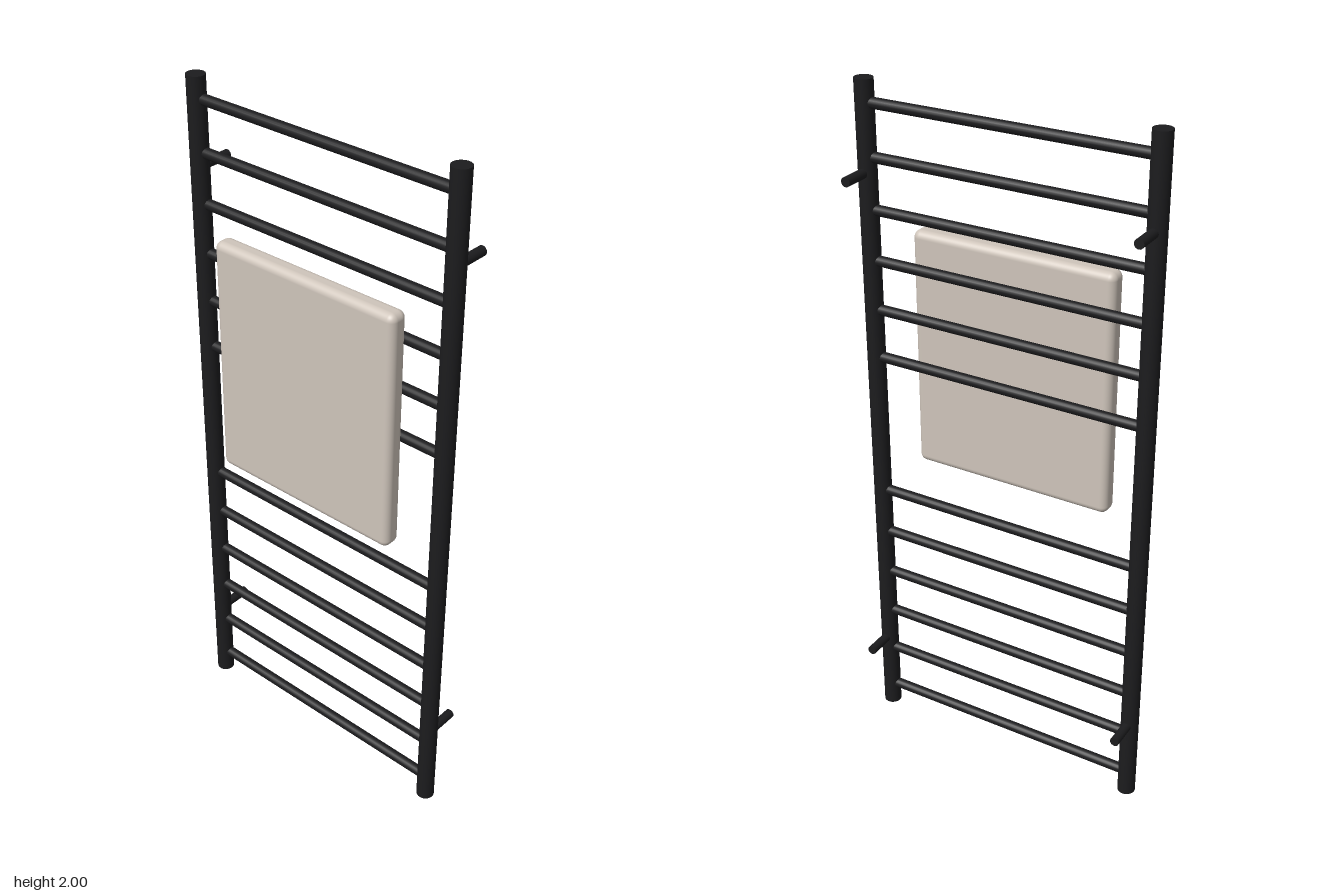
import * as THREE from 'three';
import { RoundedBoxGeometry } from 'three/addons/geometries/RoundedBoxGeometry.js';

export function createModel() {
  const model = new THREE.Group();
  model.name = 'towelRail';

  const black = new THREE.MeshStandardMaterial({ color: 0x1c1c1e });
  black.name = 'matt black';
  const beige = new THREE.MeshStandardMaterial({ color: 0xcfc5bb });
  beige.name = 'warm beige';

  const postX = 0.416, railZ = 0.01;

  function add(name, geometry, material, x, y, z) {
    const mesh = new THREE.Mesh(geometry, material);
    mesh.name = name;
    mesh.position.set(x, y, z);
    model.add(mesh);
  }

  // Upright posts, each with two wall brackets pointing back
  const post = new THREE.CylinderGeometry(0.026, 0.026, 2, 32);
  const bracket = new THREE.CylinderGeometry(0.0135, 0.0135, 0.1, 20).rotateX(Math.PI / 2);
  for (const [side, s] of [['left', 1], ['right', -1]]) {
    add(side + 'Post', post, black, s * postX, 1, railZ);
    for (const y of [0.253, 1.753]) add(side + 'Bracket', bracket, black, s * postX, y, -0.04);
  }

  // Two banks of six rungs with a gap between them
  const rung = new THREE.CylinderGeometry(0.015, 0.015, postX * 2, 20).rotateZ(Math.PI / 2);
  for (const start of [0.07, 1.22]) {
    for (let i = 0; i < 6; i++) add('rung', rung, black, 0, start + i * 0.1435, railZ - 0.001);
  }

  // Folded towel hanging in front of the rungs
  add('towel', new RoundedBoxGeometry(0.6, 0.7, 0.058, 5, 0.021), beige, 0, 1.255, 0.06);

  return model;
}
